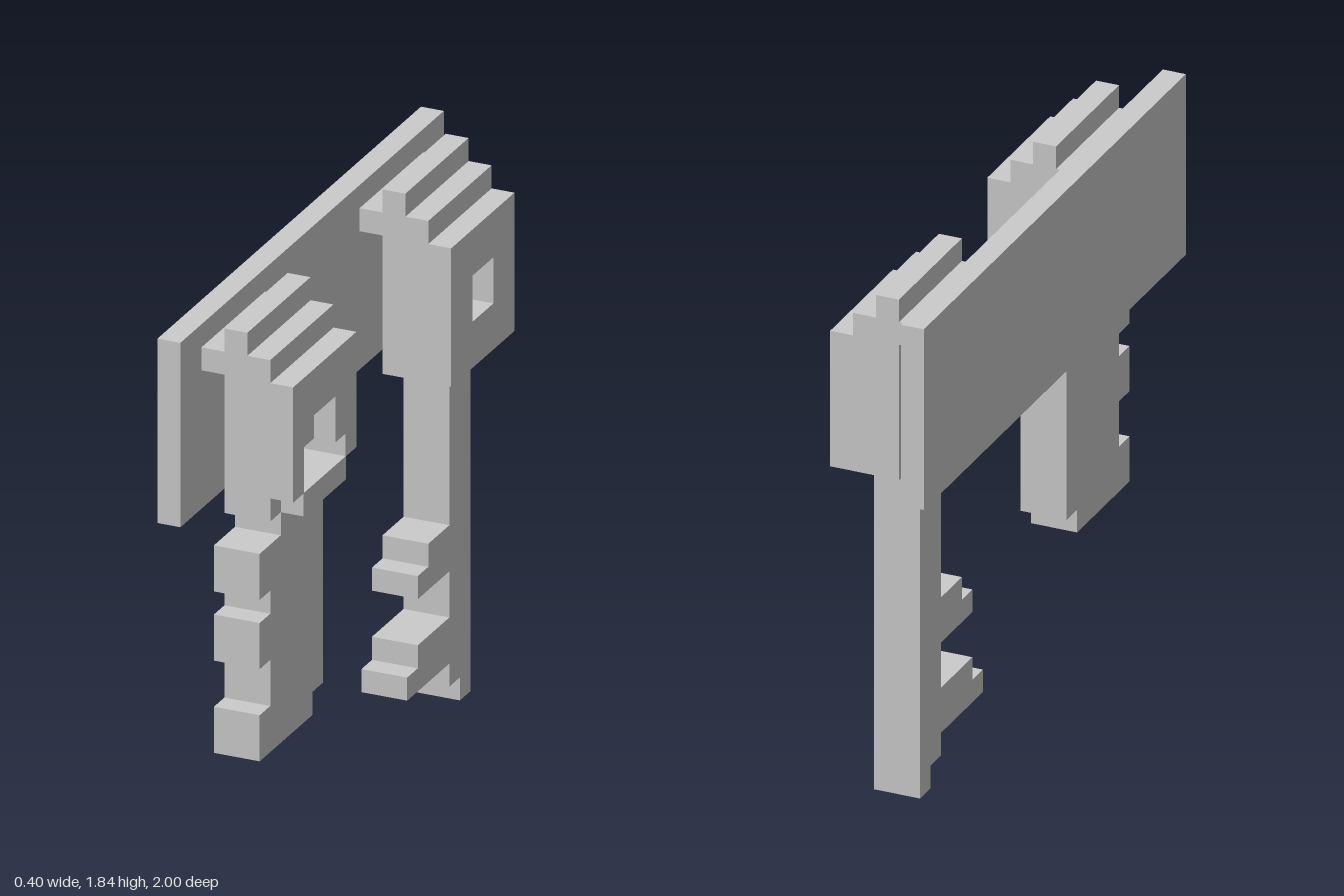
import * as THREE from 'three';

const material = new THREE.MeshStandardMaterial({ color: 0xcccccc, flatShading: true });

const toPoints = (list) => list.map(([z, y]) => new THREE.Vector2(z, y));

// Slab with a side outline given as [z, y] pairs, filling x0..x1
function slab(name, x0, x1, outline, hole) {
  const shape = new THREE.Shape(toPoints(outline));
  if (hole) shape.holes.push(new THREE.Path(toPoints(hole)));
  const geometry = new THREE.ExtrudeGeometry(shape, { depth: x1 - x0, bevelEnabled: false });
  geometry.rotateY(-Math.PI / 2).translate(x1, 0, 0);
  const mesh = new THREE.Mesh(geometry, material);
  mesh.name = name;
  return mesh;
}

const rect = (z0, z1, y0, y1) => [[z0, y0], [z1, y0], [z1, y1], [z0, y1]];

// Key head: three upright layers with a stepped top and a hook towards the board
function keyHead(name, z0, z1, bottoms, hole) {
  const head = new THREE.Group();
  head.name = name;
  [1.84, 1.76, 1.68].forEach((top, i) => {
    const x = -0.04 + i * 0.08;
    const outline = [[z1, top], [z0, top], ...bottoms[i]];
    head.add(slab('headLayer', x, x + 0.08, outline, hole));
  });
  head.add(slab('hook', -0.12, -0.04, rect(z0, z1, 1.68, 1.76)));
  return head;
}

export function createModel() {
  const model = new THREE.Group();
  model.name = 'keyRack';

  // Back board
  model.add(slab('board', -0.2, -0.12, rect(-1, 1, 1.2, 1.84)));

  // Wide key: head with a stepped opening and notched lower corners
  const inner = [[0.36, 1.28], [0.44, 1.28], [0.44, 1.2], [0.84, 1.2]];
  const outer = [[0.36, 1.28], [0.44, 1.28], [0.44, 1.2], [0.76, 1.2], [0.76, 1.28], [0.84, 1.28]];
  const opening = [
    [0.759, 1.281], [0.759, 1.44], [0.68, 1.44], [0.68, 1.52],
    [0.52, 1.52], [0.52, 1.36], [0.441, 1.36], [0.441, 1.281],
  ];
  model.add(keyHead('wideKeyHead', 0.36, 0.84, [inner, inner, outer], opening));
  model.add(slab('wideKeyBlade', -0.04, 0.12, [
    [0.76, 1.2], [0.76, 1.12], [0.92, 1.12], [0.92, 0.96], [0.84, 0.96], [0.84, 0.88],
    [0.92, 0.88], [0.92, 0.72], [0.84, 0.72], [0.84, 0.56], [0.92, 0.56], [0.92, 0.4],
    [0.52, 0.4], [0.52, 0.48], [0.44, 0.48], [0.44, 1.2],
  ]));

  // Slim key: square head with a square hole, thin shaft and two stepped teeth
  const flat = [[-0.84, 1.2], [-0.36, 1.2]];
  model.add(keyHead('slimKeyHead', -0.84, -0.36, [flat, flat, flat], rect(-0.68, -0.52, 1.36, 1.52)));
  model.add(slab('slimKeyShaft', -0.04, 0.12, [
    [-0.52, 1.2], [-0.52, 0.64], [-0.36, 0.64], [-0.36, 0.56], [-0.28, 0.56], [-0.28, 0.48],
    [-0.52, 0.48], [-0.52, 0.32], [-0.28, 0.32], [-0.28, 0.24], [-0.2, 0.24], [-0.2, 0.16],
    [-0.52, 0.16], [-0.52, 0.08], [-0.6, 0.08], [-0.6, 0], [-0.68, 0], [-0.68, 1.2],
  ]));

  return model;
}
